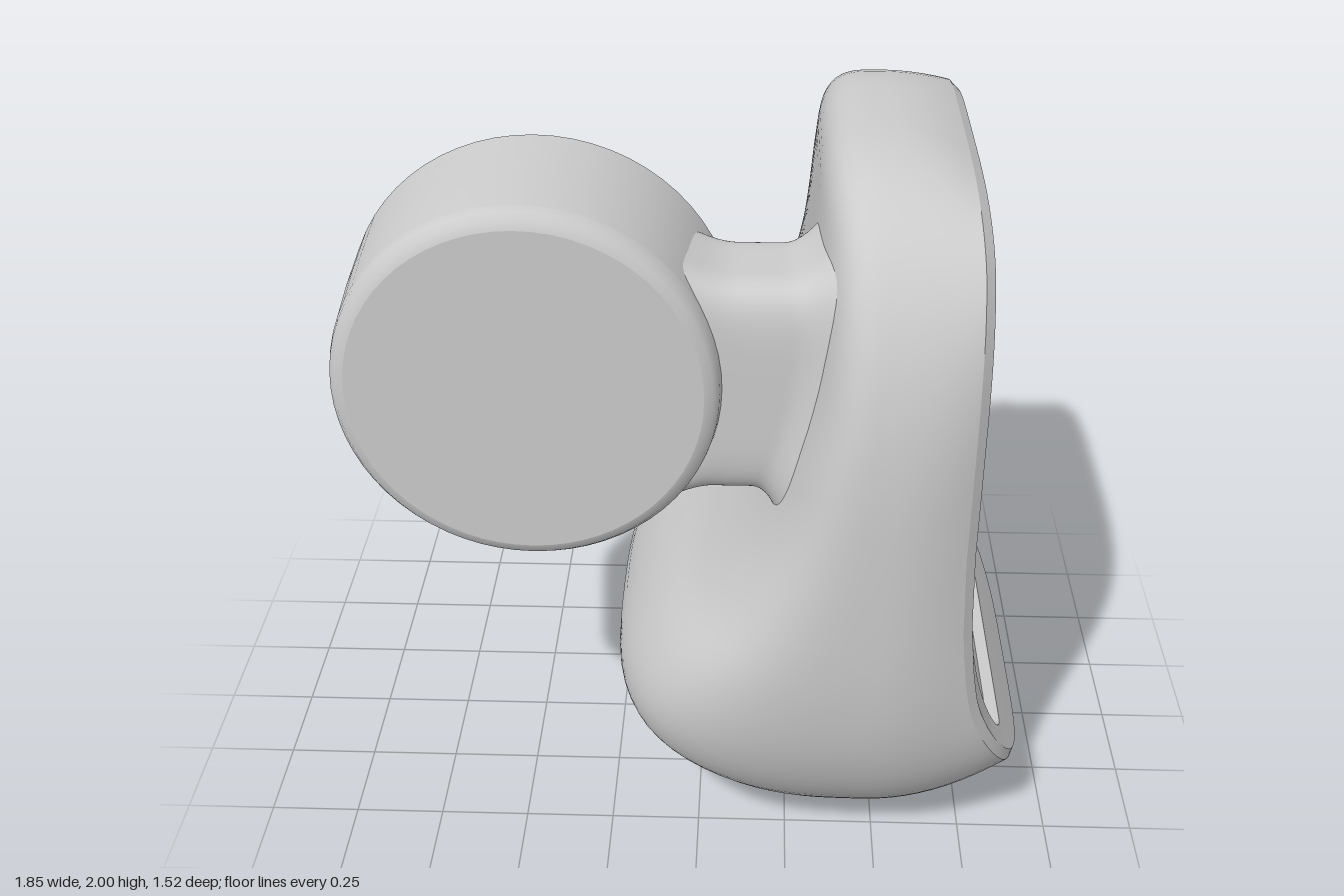
import * as THREE from 'three';
import { mergeGeometries, mergeVertices } from 'three/addons/utils/BufferGeometryUtils.js';

const SEG = 96;
const MID = 0.47; // x of the widest outline of the body
const P = 3.5; // roundness of the back
const grey = new THREE.MeshStandardMaterial({ color: 0xcccccc });
const thin = new THREE.MeshStandardMaterial({ color: 0xcccccc, side: THREE.DoubleSide });

// Smooth curve through [y, x] points, read as x(y)
function profile(p) {
  const slope = (i) => {
    const a = p[Math.max(i - 1, 0)], b = p[Math.min(i + 1, p.length - 1)];
    return (b[1] - a[1]) / (b[0] - a[0]);
  };
  return (y) => {
    let i = 0;
    while (i < p.length - 2 && y > p[i + 1][0]) i++;
    const h = p[i + 1][0] - p[i][0];
    const t = THREE.MathUtils.clamp((y - p[i][0]) / h, 0, 1), t2 = t * t, t3 = t2 * t;
    return (2 * t3 - 3 * t2 + 1) * p[i][1] + (t3 - 2 * t2 + t) * h * slope(i)
      + (3 * t2 - 2 * t3) * p[i + 1][1] + (t3 - t2) * h * slope(i + 1);
  };
}

const backX = profile([[0, 0.15], [0.05, 0.05], [0.1, -0.05], [0.2, -0.185], [0.3, -0.265], [0.4, -0.28],
  [0.5, -0.254], [0.6, -0.198], [0.7, -0.12], [0.8, -0.02], [0.9, 0.055], [1, 0.12], [1.1, 0.167],
  [1.2, 0.195], [1.5, 0.26], [1.8, 0.257], [2, 0.2]]);
const plateX = profile([[0.2, 0.935], [0.3, 0.88], [0.4, 0.825], [0.5, 0.778], [0.6, 0.745],
  [0.8, 0.715], [1, 0.702], [1.3, 0.7], [1.8, 0.7], [1.95, 0.69]]);

// Superellipse ring as [z, y] pairs
function ring(rz, ry, cz, cy, n) {
  const f = (v) => Math.sign(v) * Math.abs(v) ** (2 / n);
  return Array.from({ length: SEG }, (_, i) => {
    const a = (i / SEG) * Math.PI * 2;
    return [cz + rz * f(Math.cos(a)), cy + ry * f(Math.sin(a))];
  });
}

// Skin over closed rings of [x, y, z] points
function loft(rings) {
  const n = rings[0].length, index = [];
  for (let i = 0; i < rings.length - 1; i++) {
    for (let j = 0; j < n; j++) {
      const k = (j + 1) % n, a = i * n + j, b = i * n + k, c = a + n, d = b + n;
      index.push(a, c, d, a, d, b);
    }
  }
  const g = new THREE.BufferGeometry();
  g.setAttribute('position', new THREE.Float32BufferAttribute(rings.flat(2), 3));
  g.setIndex(index);
  g.computeVertexNormals();
  return g;
}

// Flat shape (u = -z, v = y) laid on the curved plate, sunk by depth
function onPlate(shape, depth = 0) {
  const g = new THREE.ShapeGeometry(shape);
  const p = g.attributes.position;
  for (let i = 0; i < p.count; i++) {
    const u = p.getX(i), y = p.getY(i);
    p.setXYZ(i, plateX(y) - depth, y, -u);
  }
  g.deleteAttribute('uv');
  g.deleteAttribute('normal');
  return g;
}

const toVec = ([z, y]) => new THREE.Vector2(-z, y);

// Rounded slot or round hole outline
function stadium(cz, cy, half, r) {
  return Array.from({ length: 32 }, (_, i) => {
    const a = ((i + 0.5) / 32) * Math.PI * 2, c = Math.cos(a);
    return [cz + Math.sign(c) * half + r * c, cy + r * Math.sin(a)];
  });
}

// Height where the back surface of the body lies for a given y, z
function bodyBack(y, z) {
  const rho = Math.min(1, (Math.abs(z / 0.76) ** 3.1 + Math.abs(y - 1) ** 3.1) ** (1 / 3.1));
  return MID - (MID - backX(y)) * (1 - rho ** P) ** (1 / P);
}

export function createModel() {
  const model = new THREE.Group();
  const add = (name, geometry, material = grey) => {
    const m = new THREE.Mesh(geometry, material);
    m.name = name;
    model.add(m);
    return m;
  };

  // Body: bulging back, then the side wall running to the plate rim
  const outline = ring(0.76, 1, 0, 1, 3.1);
  const rim = ring(0.705, 0.875, 0, 1.075, 4);
  const rimX = (y) => plateX(y) - 0.025;
  const rings = [];
  for (let i = 0; i <= 30; i++) {
    const t = i / 30, a = (Math.PI / 2) * t * t * (3 - 2 * t);
    const rho = Math.sin(a) ** (2 / P), fac = Math.max(0, Math.cos(a)) ** (2 / P);
    rings.push(outline.map(([z, y]) => {
      const yy = 1 + (y - 1) * rho;
      return [MID - (MID - backX(yy)) * fac, yy, z * rho];
    }));
  }
  for (let i = 1; i <= 10; i++) {
    const f = i / 10, g = f * f;
    rings.push(outline.map(([z, y], j) => {
      const [rz, ry] = rim[j];
      return [MID + (rimX(ry) - MID) * f, y + (ry - y) * g, z + (rz - z) * g];
    }));
  }
  add('body', loft(rings));

  // Narrow bevel around the plate
  const edge = ring(0.68, 0.85, 0, 1.075, 4);
  add('plateBevel', loft([
    rim.map(([z, y]) => [rimX(y), y, z]),
    edge.map(([z, y]) => [plateX(y), y, z]),
  ]));

  // Curved plate in horizontal strips, with a slot and two holes
  const recesses = [
    { name: 'slot', pts: stadium(0, 0.44, 0.45, 0.08), depth: 0.035 },
    { name: 'leftHole', pts: stadium(0.283, 0.783, 0, 0.055), depth: 0.05 },
    { name: 'rightHole', pts: stadium(-0.283, 0.783, 0, 0.055), depth: 0.05 },
  ];
  const cuts = [0.2, 0.26, 0.3, 0.34, 0.54, 0.58, 0.62, 0.66, 0.7, 0.86, 1, 1.3, 1.8, 2];
  const halfWidth = (y) => 0.68 * Math.max(0, 1 - Math.abs((y - 1.075) / 0.85) ** 4) ** 0.25;
  const strips = [];
  for (let i = 0; i < cuts.length - 1; i++) {
    const lo = Math.max(cuts[i], 0.225), hi = Math.min(cuts[i + 1], 1.925);
    const side = edge.filter(([z, y]) => z > 1e-3 && y > lo + 1e-4 && y < hi - 1e-4)
      .sort((a, b) => a[1] - b[1]);
    const all = [[halfWidth(lo), lo], ...side, [halfWidth(hi), hi]];
    const right = all.map(([w, y]) => new THREE.Vector2(w, y));
    const left = all.map(([w, y]) => new THREE.Vector2(-w, y)).reverse();
    const shape = new THREE.Shape([...right, ...left].filter((p, k, arr) =>
      p.distanceTo(arr[(k + 1) % arr.length]) > 1e-5));
    for (const r of recesses) {
      if (r.pts[0][1] > lo && r.pts[0][1] < hi) shape.holes.push(new THREE.Path(r.pts.map(toVec)));
    }
    strips.push(onPlate(shape));
  }
  const plate = mergeVertices(mergeGeometries(strips), 1e-4);
  plate.computeVertexNormals();
  add('plate', plate);

  // Walls and floors of the slot and holes
  for (const { name, pts, depth } of recesses) {
    add(name + 'Wall', loft([0, depth].map((d) => pts.map(([z, y]) => [plateX(y) - d, y, z]))), thin);
    const floor = onPlate(new THREE.Shape(pts.map(toVec)), depth);
    floor.computeVertexNormals();
    add(name + 'Floor', floor, thin);
  }

  // Round head: tapered drum with a rounded front edge and a shallow recess behind
  const lathe = (pts) => new THREE.LatheGeometry(pts.map(([r, z]) => new THREE.Vector2(r, z)), 64);
  const head = new THREE.Group();
  head.name = 'head';
  const headParts = {
    headBack: [[0, 0.192], [0.345, 0.192]],
    headRecessWall: [[0.345, 0.192], [0.345, 0.18]],
    headBackRing: [[0.345, 0.18], [0.505, 0.18]],
    headSide: [[0.505, 0.18], [0.494, 0.4], [0.482, 0.555]],
    headEdge: [[0.482, 0.555], [0.477, 0.582], [0.463, 0.602], [0.44, 0.61]],
    headFront: [[0.44, 0.61], [0, 0.61]],
  };
  for (const [name, pts] of Object.entries(headParts)) {
    const m = new THREE.Mesh(lathe(pts), grey);
    m.name = name;
    head.add(m);
  }
  head.rotation.x = Math.PI / 2;
  head.position.set(-0.42, 1.475, 0);
  model.add(head);

  // Neck: rounded block, flared where it meets the head and the body
  const neck = [];
  for (let i = 0; i <= 20; i++) {
    const t = i / 20;
    const headFlare = 0.05 * Math.max(0, 1 - t / 0.35) ** 2;
    const bodyFlare = 0.06 * Math.max(0, (t - 0.7) / 0.3) ** 2;
    const loop = ring(0.178 + bodyFlare * 0.6, 0.295 + headFlare + bodyFlare, 0.378, 1.445, 5);
    neck.push(loop.map(([z, y]) => {
      const start = -0.44 + Math.sqrt(0.49 ** 2 - (y - 1.475) ** 2);
      const end = bodyBack(y, z) + 0.012;
      return [start + (end - start) * t, y, z];
    }));
  }
  add('neck', loft(neck));

  return model;
}
